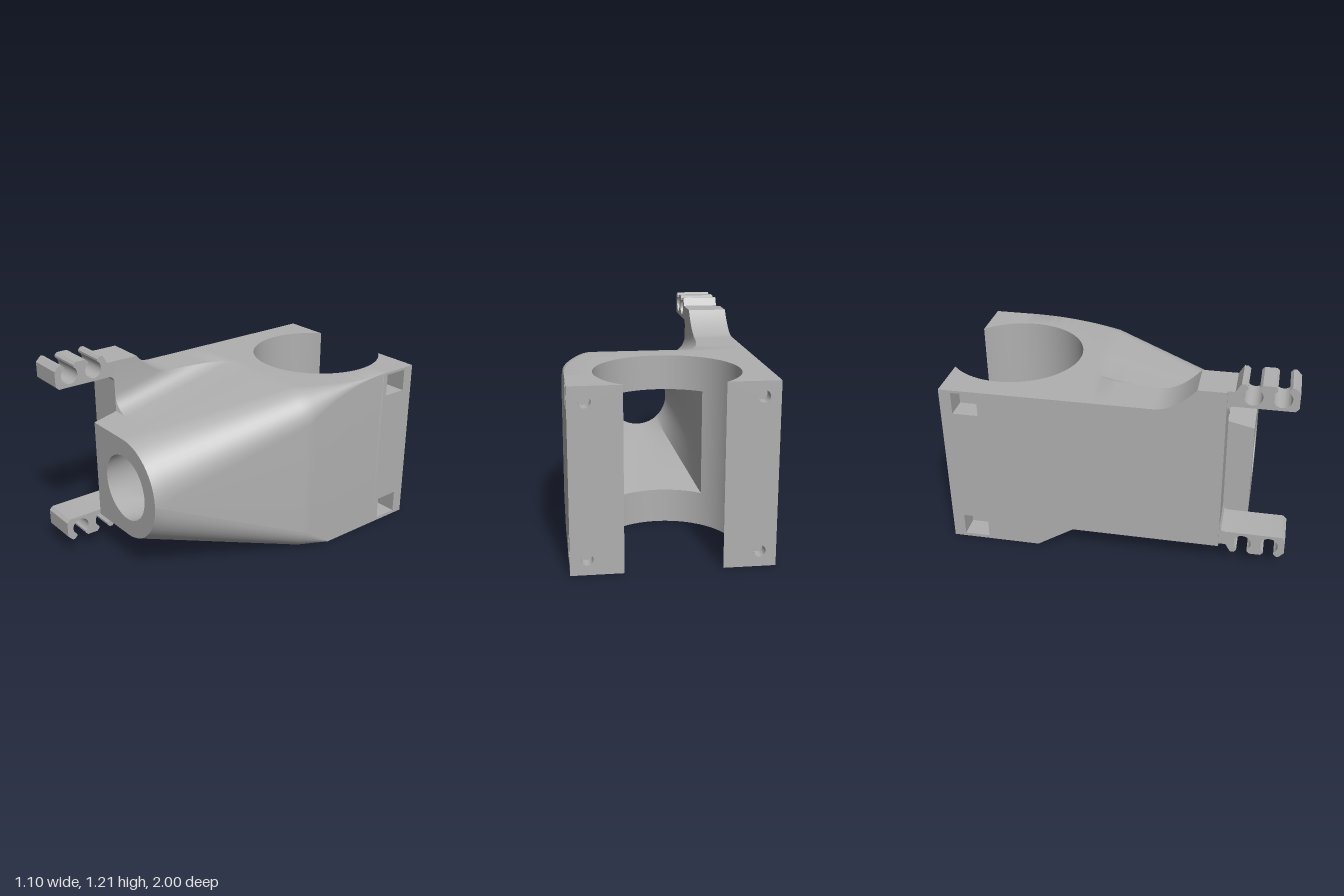
import * as THREE from 'three';
import { mergeGeometries, toCreasedNormals } from 'three/addons/utils/BufferGeometryUtils.js';

const lerp = THREE.MathUtils.lerp;
const clamp = THREE.MathUtils.clamp;

// Skin a row of equally long cross-sections
function loft(sections) {
  const p = [];
  for (let i = 0; i + 1 < sections.length; i++) {
    const a = sections[i], b = sections[i + 1];
    for (let j = 0; j + 1 < a.length; j++) {
      p.push(...a[j], ...a[j + 1], ...b[j + 1], ...a[j], ...b[j + 1], ...b[j]);
    }
  }
  const g = new THREE.BufferGeometry();
  g.setAttribute('position', new THREE.Float32BufferAttribute(p, 3));
  return g;
}

const smooth = (list) => toCreasedNormals(mergeGeometries(list), 0.5);
const polygon = (pts) => new THREE.Shape(pts.map(([x, y]) => new THREE.Vector2(x, y)));
const circleHole = (x, y, r) => new THREE.Path().absarc(x, y, r, 0, Math.PI * 2, true);

// Main dimensions
const W = 0.55, H = 1.02, BORE = 0.4, BORE_Z = -0.7, NOSE = 0.77, KNEE = -0.15, PLATE_END = 0.62;
const RIB = -0.31, MID = 0.51, POCKETS = [[0.02, 0.155], [0.87, 1.005]];
const taper = (z) => clamp((z - KNEE) / (NOSE - KNEE), 0, 1);
const top = (z) => lerp(H, 0.815, taper(z));
const bottom = (z) => lerp(0, 0.205, taper(z));
const right = (z) => lerp(W, 0.305, taper(z));
const boreHalf = (z) => Math.sqrt(Math.max(0, BORE * BORE - (z - BORE_Z) ** 2));
const plateTop = (z) => H + 0.14 * clamp((z - 0.22) / 0.24, 0, 1) ** 2;
const plateBottom = (z) => 0.14 * clamp((z + 0.47) / 0.22, 0, 1);
const topRadius = (z) => z > KNEE ? lerp(0.18, 0.305, taper(z)) : 0.18 * clamp((z + 0.75) / 0.6, 0, 1) ** 2;
const bottomRadius = (z) => z > KNEE ? lerp(0.13, 0.305, taper(z)) : 0.13 * clamp((z + 0.34) / 0.19, 0, 1);

// Stations along the depth, dense around the bore
function stations() {
  const zs = [-0.75, -0.47, -0.34, -0.25, -0.2, KNEE, PLATE_END, 0.7, NOSE];
  const a = Math.acos(-0.75);
  for (let i = 0; i <= 32; i++) zs.push(BORE_Z + BORE * Math.cos(a * i / 32));
  for (let i = 1; i < 12; i++) zs.push(lerp(KNEE, 0.22, i / 12), lerp(0.22, 0.46, i / 12));
  zs.push(0.22, 0.46, 0.54);
  return zs.sort((p, q) => p - q).filter((z, i, l) => i === 0 || z - l[i - 1] > 1e-5);
}

// Right half edge: flat face, then a rounded corner; s = 1 top, -1 bottom
function rightEdge(z, s) {
  const y = s > 0 ? top(z) : bottom(z);
  const r = s > 0 ? topRadius(z) : bottomRadius(z);
  const pts = [[boreHalf(z), y, z]];
  for (let i = 0; i <= 12; i++) {
    const t = i / 12 * Math.PI / 2;
    pts.push([right(z) - r + r * Math.sin(t), y - s * r * (1 - Math.cos(t)), z]);
  }
  return pts;
}

// Left half edge: flat face, fillet up to the side plate, plate edge
function leftEdge(z, y, plateY) {
  const R = 0.11, d = plateY - y, s = Math.sign(d);
  const end = Math.acos(clamp(1 - Math.abs(d) / R, 0, 1));
  const limit = -boreHalf(z);
  const pts = [[limit, y, z]];
  for (let i = 0; i <= 8; i++) {
    const t = end * i / 8;
    pts.push([Math.min(limit, RIB + R - R * Math.sin(t)), y + s * R * (1 - Math.cos(t)), z]);
  }
  pts.push([pts[9][0], plateY, z], [-W, plateY, z]);
  return pts;
}

export function createModel() {
  const group = new THREE.Group();
  const grey = new THREE.MeshStandardMaterial({ color: 0xb0b0b0, side: THREE.DoubleSide });
  grey.name = 'plain grey';
  const add = (name, geometry) => {
    const m = new THREE.Mesh(geometry, grey);
    m.name = name;
    group.add(m);
    return m;
  };

  // Outer skin of the block and tapered nose
  const zs = stations();
  const plateZs = zs.filter((z) => z <= PLATE_END);
  const wall = zs.filter((z) => z >= -0.75).map((z) =>
    [rightEdge(z, 1).at(-1), rightEdge(z, -1).at(-1)]);
  const noseSide = [PLATE_END, NOSE].map((z) =>
    [[0, top(z), z], [RIB, top(z), z], [RIB, bottom(z), z], [0, bottom(z), z]]);
  add('bodySkin', smooth([
    loft(zs.map((z) => rightEdge(z, 1))),
    loft(wall),
    loft(zs.map((z) => rightEdge(z, -1))),
    loft(plateZs.map((z) => leftEdge(z, top(z), plateTop(z)))),
    loft(plateZs.map((z) => leftEdge(z, bottom(z), plateBottom(z)))),
    loft(noseSide),
  ]));

  // Vertical bore with a rectangular window into the duct
  const winX = 0.25, winY = 0.31;
  const aEnd = Math.acos(-0.75), aWin = Math.asin(winX / BORE);
  const borePatch = (a0, a1, y0, y1) => {
    const rows = [];
    for (let i = 0; i <= 24; i++) {
      const a = lerp(a0, a1, i / 24), x = BORE * Math.sin(a), z = BORE_Z + BORE * Math.cos(a);
      rows.push([[x, y0, z], [x, y1, z]]);
    }
    return loft(rows);
  };
  const bands = [];
  for (const [a, b] of [[-aEnd, -aWin], [-aWin, aWin], [aWin, aEnd]]) {
    bands.push(borePatch(a, b, 0, MID - winY), borePatch(a, b, MID + winY, H));
    if (a !== -aWin) bands.push(borePatch(a, b, MID - winY, MID + winY));
  }
  add('bore', smooth(bands));

  // Duct blending from the round mouth to the window
  const corner = Math.atan2(winY, winX), angles = [];
  for (const [a, b] of [[-corner, corner], [corner, Math.PI - corner],
    [Math.PI - corner, Math.PI + corner], [Math.PI + corner, 2 * Math.PI - corner]]) {
    for (let i = 0; i < 18; i++) angles.push(lerp(a, b, i / 18));
  }
  angles.push(2 * Math.PI - corner);
  const duct = [];
  for (let k = 0; k <= 8; k++) {
    duct.push(angles.map((a) => {
      const c = Math.cos(a), s = Math.sin(a);
      const q = Math.min(winX / Math.max(1e-6, Math.abs(c)), winY / Math.max(1e-6, Math.abs(s)));
      const zEnd = BORE_Z + Math.sqrt(BORE * BORE - (q * c) ** 2);
      const r = lerp(0.2, q, k / 8);
      return [r * c, MID + r * s, lerp(NOSE, zEnd, k / 8)];
    }));
  }
  add('duct', smooth([loft(duct)]));

  // D-shaped nose face
  const face = new THREE.Shape();
  face.moveTo(RIB, 0.205);
  face.lineTo(0, 0.205);
  face.absarc(0, MID, 0.305, -Math.PI / 2, Math.PI / 2, false);
  face.lineTo(RIB, 0.815);
  face.holes.push(circleHole(0, MID, 0.2));
  add('noseFace', new THREE.ShapeGeometry(face, 48).translate(0, 0, NOSE));

  // Side walls with pocket openings
  const addPocketHoles = (shape) => POCKETS.forEach(([y0, y1]) => shape.holes.push(
    new THREE.Path([[-0.93, y0], [-0.93, y1], [-0.78, y1], [-0.78, y0]].map((p) => new THREE.Vector2(...p)))));
  const leftWall = polygon([...plateZs.map((z) => [z, plateBottom(z)]),
    ...plateZs.map((z) => [z, plateTop(z)]).reverse()]);
  const rightWall = polygon([[-1, 0], [-0.75, 0], [-0.75, H], [-1, H]]);
  [[leftWall, -W, 'plateWall'], [rightWall, W, 'rearSideWall']].forEach(([shape, x, name]) => {
    addPocketHoles(shape);
    add(name, new THREE.ShapeGeometry(shape).rotateY(-Math.PI / 2).translate(x, 0, 0));
  });
  add('plateFront', new THREE.PlaneGeometry(0.24, 1.02).translate(-0.43, 0.65, PLATE_END));

  // Rear faces, nut pockets and screw holes
  for (const s of [-1, 1]) {
    const e = boreHalf(-1);
    const rear = polygon([[s * e, 0], [s * W, 0], [s * W, H], [s * e, H]]);
    for (const [y0, y1] of POCKETS) {
      const y = (y0 + y1) / 2;
      rear.holes.push(circleHole(s * 0.46, y, 0.033));
      const ring = (x, k) => [[-1, -1], [1, -1], [1, 1], [-1, 1], [-1, -1]].map(([u, v]) =>
        [s * x, y + k * v * (y1 - y0) / 2, -0.855 + k * u * 0.075]);
      add('nutPocket', smooth([loft([ring(W, 1), ring(0.42, 1), ring(0.42, 0)])]));
      add('screwHole', new THREE.CylinderGeometry(0.033, 0.033, 0.07, 24, 1, true)
        .rotateX(Math.PI / 2).translate(s * 0.46, y, -0.965));
    }
    add('rearFace', new THREE.ShapeGeometry(rear, 24).translate(0, 0, -1));
  }

  // Double snap clips, the lower one turned upside down
  const clip = polygon([[0.62, 1.04], [0.63, 1.06], [0.65, 1.07], [0.98, 1.07], [1, 1.09], [1, 1.18], [0.97, 1.21]]);
  const a0 = Math.acos(0.03 / 0.052);
  for (const z of [0.91, 0.755]) {
    clip.lineTo(z + 0.045, 1.21);
    clip.lineTo(z + 0.03, 1.195);
    clip.absarc(z, 1.14, 0.052, a0, Math.PI - a0, true);
    clip.lineTo(z - 0.03, 1.195);
    clip.lineTo(z - 0.045, 1.21);
  }
  clip.lineTo(0.69, 1.21);
  clip.lineTo(0.66, 1.16);
  clip.lineTo(0.62, 1.16);
  const clipGeometry = toCreasedNormals(new THREE.ExtrudeGeometry(clip,
    { depth: 0.22, bevelEnabled: false, curveSegments: 24 }).rotateY(-Math.PI / 2).translate(RIB, 0, 0), 0.5);
  add('upperClip', clipGeometry);
  const lower = add('lowerClip', clipGeometry);
  lower.rotation.z = Math.PI;
  lower.position.set(-0.84, 1.305, 0);

  return group;
}
